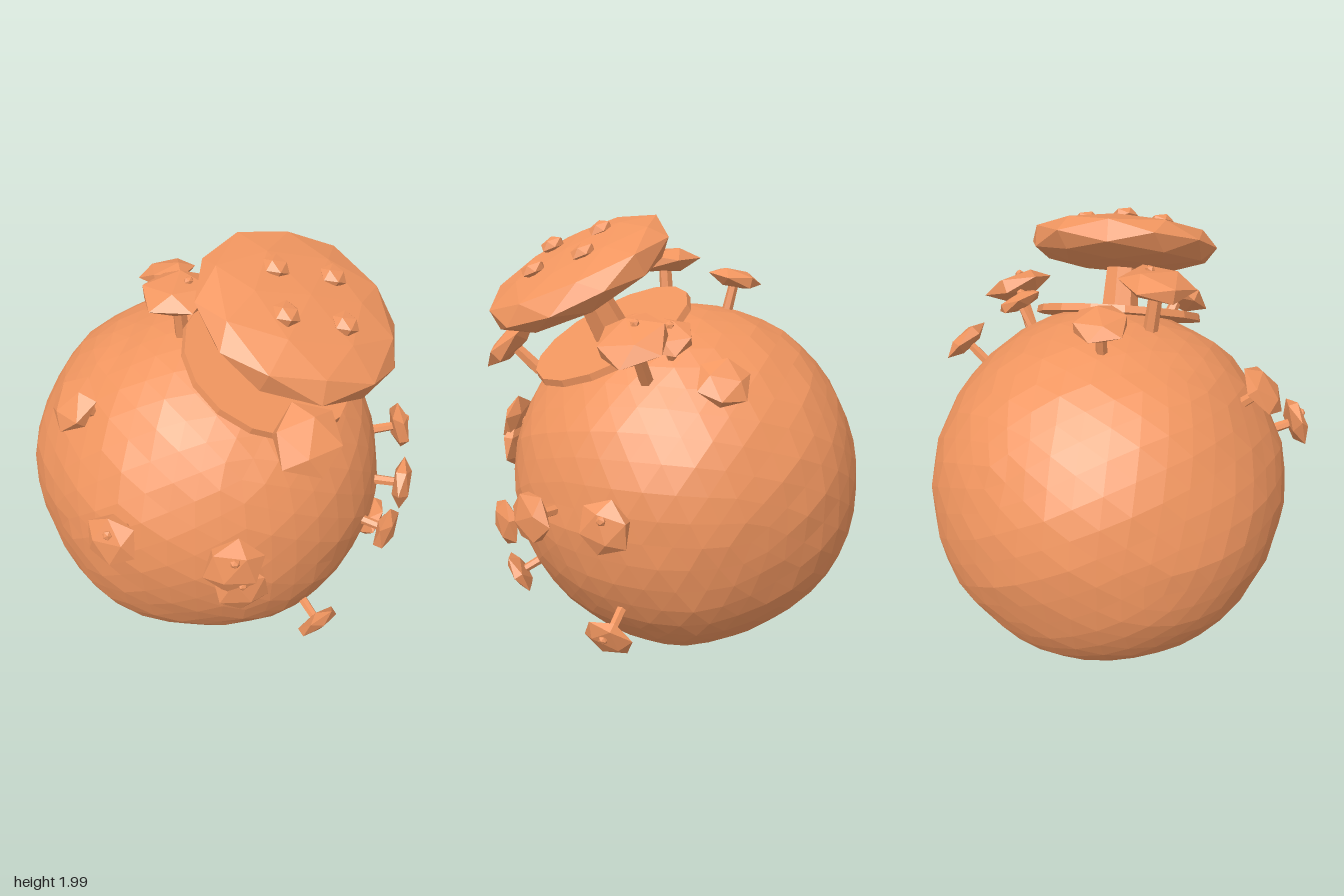
import * as THREE from 'three';

const CENTER = new THREE.Vector3(-0.08, 0.81, -0.08);
const UP = new THREE.Vector3(0, 1, 0);

export function createModel() {
  const model = new THREE.Group();
  model.name = 'mushroomPlanet';
  const material = new THREE.MeshStandardMaterial({ color: 0xf0955f, flatShading: true });

  const add = (parent, name, geometry, x = 0, y = 0, z = 0) => {
    const mesh = new THREE.Mesh(geometry, material);
    mesh.name = name;
    mesh.position.set(x, y, z);
    parent.add(mesh);
    return mesh;
  };
  const pebble = (radius, flatness, detail) =>
    new THREE.IcosahedronGeometry(radius, detail).scale(1, flatness, 1);

  // Apply a rule to every vertex of a geometry
  const reshape = (geometry, rule) => {
    const pos = geometry.attributes.position;
    const v = new THREE.Vector3();
    for (let i = 0; i < pos.count; i++) {
      rule(v.fromBufferAttribute(pos, i));
      pos.setXYZ(i, v.x, v.y, v.z);
    }
    return geometry;
  };

  // Group whose local y axis points along a direction, by default away from the planet
  const outward = (name, x, y, z, dir) => {
    const group = new THREE.Group();
    group.name = name;
    group.position.set(x, y, z);
    const axis = dir ? new THREE.Vector3(...dir) : group.position.clone().sub(CENTER);
    group.quaternion.setFromUnitVectors(UP, axis.normalize());
    model.add(group);
    return group;
  };

  // Lumpy planet with a small flat underside
  const planet = reshape(new THREE.IcosahedronGeometry(0.802, 7), (v) => {
    const lump = Math.sin(v.x * 7 + v.y * 3 + 1) * Math.sin(v.y * 6 - v.z * 4) + 0.5 * Math.sin(v.z * 9 + v.x * 5);
    const facet = Math.sin(v.x * 23 + v.z * 11) * Math.sin(v.y * 21 - v.x * 9 + 2);
    v.multiplyScalar(1 + 0.01 * lump + 0.006 * facet);
    v.y = Math.max(v.y, -0.8);
  });
  add(model, 'planet', planet, CENTER.x, CENTER.y, CENTER.z);

  // Large mushroom on a round plate, the cap full towards its rim
  const big = outward('largeMushroom', 0.205, 1.785, 0.325);
  add(big, 'largeCap', reshape(new THREE.IcosahedronGeometry(0.425, 1), (v) => {
    v.y = Math.sign(v.y) * 0.112 * Math.pow(Math.abs(v.y) / 0.425, 0.75);
  }));
  add(big, 'largeStem', new THREE.CylinderGeometry(0.065, 0.09, 0.36, 7), 0, -0.18, 0);
  add(big, 'plate', new THREE.CylinderGeometry(0.37, 0.375, 0.03, 16), 0, -0.312, 0);
  const spots = [[0.13, 1.955, 0.25], [0.36, 1.89, 0.25], [0.11, 1.88, 0.475], [0.34, 1.81, 0.475]];
  for (const p of spots) {
    const spot = add(model, 'largeCapSpot', pebble(0.057, 0.6, 0), ...p);
    spot.quaternion.copy(big.quaternion);
  }

  // Small mushrooms: cap centre x, y, z, cap radius, spot (1 or 0), stem length, tilt if not radial
  const small = [
    [-0.68, 1.41, 0.2, 0.125, 0, 0.14],
    [0.15, 1.45, 0.68, 0.155, 0, 0.18, [0.1, 0.7, 0.72]],
    [-0.61, 1.05, 0.63, 0.12, 1, 0.16],
    [-0.16, 0.98, 0.81, 0.13, 1, 0.16],
    [-0.13, 0.86, 0.81, 0.125, 1, 0.15],
    [0.84, 0.93, 0.03, 0.118, 1, 0.2],
    [0.72, 0.88, 0.38, 0.12, 0, 0.18],
    [0.59, 0.78, 0.55, 0.11, 0, 0.18],
    [0.74, 0.38, 0.06, 0.115, 1, 0.2],
    [0.27, 0.36, 0.65, 0.11, 0, 0.17],
    [0.56, 1.59, -0.01, 0.16, 1, 0.3, [0.5, 0.85, 0.1]],
    [0.53, 1.44, -0.36, 0.115, 0, 0.18],
    [0.43, 1.58, -0.12, 0.11, 1, 0.19],
    [-0.22, 1.785, 0.06, 0.165, 1, 0.25, [-0.08, 0.99, 0.08]],
    [-0.21, 1.715, -0.27, 0.125, 0, 0.18],
  ];
  small.forEach(([x, y, z, r, spotted, length, tilt], i) => {
    const group = outward('smallMushroom', x, y, z, tilt);
    add(group, 'smallCap', pebble(r, 0.36, 0)).rotation.y = i * 1.3;
    add(group, 'smallStem', new THREE.CylinderGeometry(r * 0.17, r * 0.2, length, 6), 0, -length / 2, 0);
    if (spotted) {
      // The spot sits toward the upper side of the cap
      const side = UP.clone().applyQuaternion(group.quaternion.clone().invert()).setY(0);
      if (side.lengthSq() < 0.2) side.set(1, 0, 0);
      side.setLength(r * 0.3);
      add(group, 'smallCapSpot', pebble(0.021, 0.8, 0), side.x, r * 0.29, side.z);
    }
  });

  return model;
}
